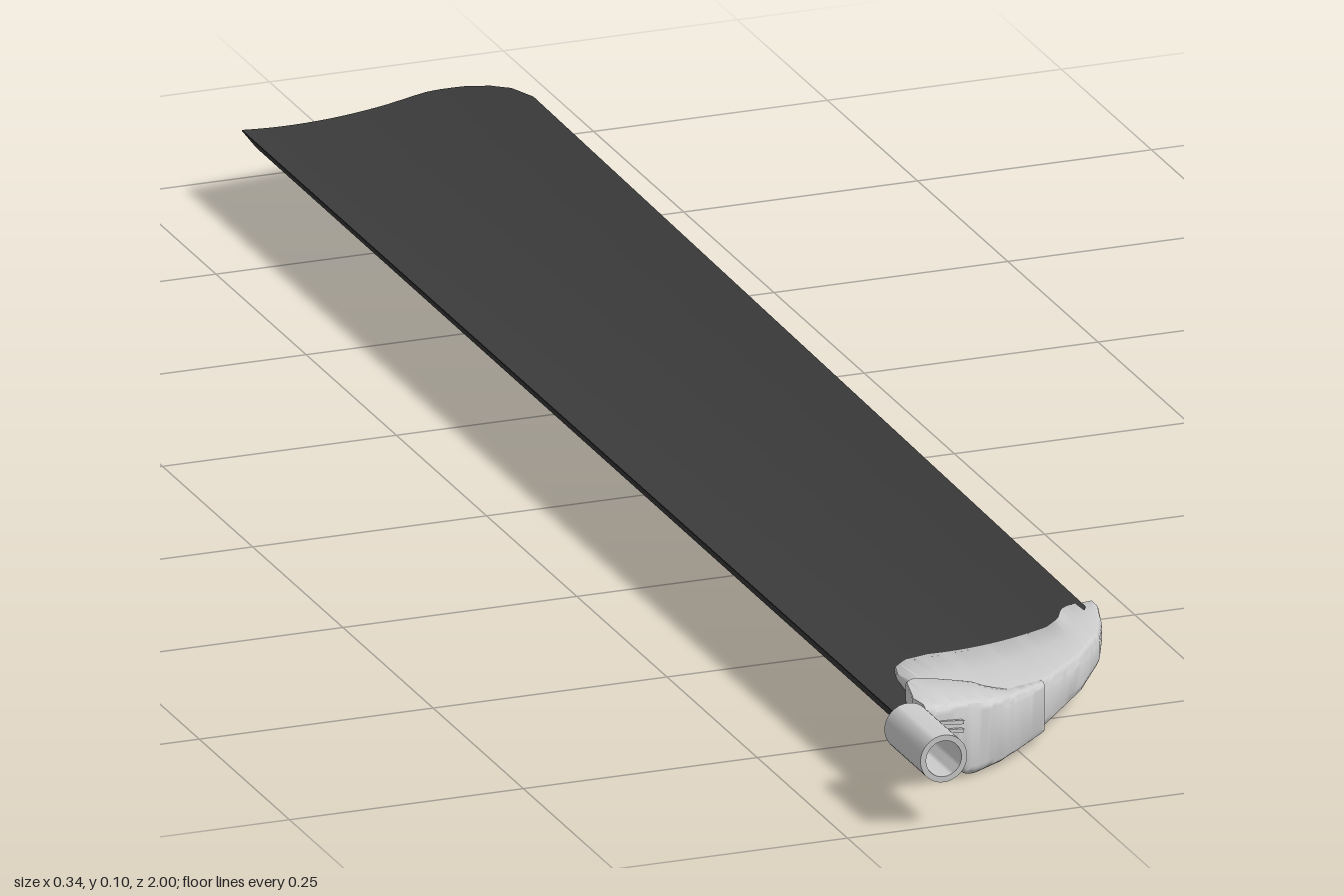
import * as THREE from 'three';
import { toCreasedNormals } from 'three/addons/utils/BufferGeometryUtils.js';

// piecewise-linear lookup in a list of [x, value] pairs
function at(table, x) {
  if (x <= table[0][0]) return table[0][1];
  for (let i = 1; i < table.length; i++) {
    const [x0, v0] = table[i - 1], [x1, v1] = table[i];
    if (x <= x1) return v0 + (v1 - v0) * (x - x0) / (x1 - x0);
  }
  return table[table.length - 1][1];
}

// skin closed [z, y] loops along x, with end caps
function loft(xs, section, crease) {
  const pos = [];
  const rings = xs.map(x => section(x).map(([z, y]) => new THREE.Vector3(x, y, z)));
  const tri = (...p) => p.forEach(v => pos.push(v.x, v.y, v.z));
  const n = rings[0].length, last = rings.length - 1;
  const centre = ring => ring.reduce((s, p) => s.add(p), new THREE.Vector3()).divideScalar(n);
  const c0 = centre(rings[0]), c1 = centre(rings[last]);
  for (let j = 0; j < n; j++) {
    const k = (j + 1) % n;
    for (let i = 0; i < last; i++) {
      const a = rings[i][j], b = rings[i][k], c = rings[i + 1][j], d = rings[i + 1][k];
      tri(a, b, c);
      tri(b, d, c);
    }
    tri(c0, rings[0][k], rings[0][j]);
    tri(c1, rings[last][j], rings[last][k]);
  }
  const g = new THREE.BufferGeometry();
  g.setAttribute('position', new THREE.Float32BufferAttribute(pos, 3));
  return toCreasedNormals(g, crease);
}

const steps = (a, b, n) => Array.from({ length: n + 1 }, (_, i) => a + (b - a) * i / n);

// blade planform and cambered, slightly twisted surface
const bladeTip = [[-0.147, -0.945], [0.03, -0.99], [0.05, -0.996], [0.07, -1], [0.09, -0.998],
  [0.11, -0.99], [0.13, -0.975], [0.145, -0.955], [0.155, -0.92]];
const bladeRoot = [[-0.147, 0.9], [-0.1, 0.86], [0, 0.79], [0.1, 0.7], [0.155, 0.61]];

function bladeTop(x, z) {
  const s = (x + 0.147) / 0.302, t = (0.9 - z) / 1.9;
  const mid = 0.048 + 0.016 * t, right = 0.058 + 0.022 * t;
  return 0.075 * (1 - s) * (1 - 2 * s) + mid * 4 * s * (1 - s) + right * s * (2 * s - 1);
}
const bladeThickness = [[-0.147, 0.001], [-0.13, 0.02], [0.148, 0.02], [0.155, 0.016]];

function bladeSection(x) {
  const zs = steps(at(bladeTip, x), at(bladeRoot, x), 10), h = at(bladeThickness, x);
  return [...zs.map(z => [z, bladeTop(x, z)]),
    ...zs.reverse().map(z => [z, bladeTop(x, z) - h])];
}

// bracket outlines: edge lying on the blade, outer edge, upper and lower heights
const clampInner = [[-0.105, 0.8], [-0.1, 0.75], [-0.09, 0.715], [-0.07, 0.69], [-0.04, 0.673],
  [0.05, 0.653], [0.1, 0.641], [0.117, 0.628], [0.13, 0.603], [0.14, 0.595], [0.168, 0.59]];
const outer = [[-0.135, 0.912], [-0.12, 0.9], [-0.09, 0.886], [-0.03, 0.86], [0.03, 0.812],
  [0.1, 0.745], [0.14, 0.69], [0.16, 0.645], [0.168, 0.615]];
const upper = [[-0.135, 0.095], [-0.12, 0.09], [-0.07, 0.081], [-0.02, 0.07], [0.03, 0.064], [0.168, 0.061]];
const lower = [[-0.135, 0.048], [-0.1, 0.02], [-0.075, 0.004], [-0.065, 0.002], [0.03, 0.011], [0.168, 0.03]];
const hubInner = [[-0.135, 0.885], [-0.125, 0.85], [-0.115, 0.81], [-0.1, 0.797], [-0.04, 0.797],
  [-0.03, 0.808], [-0.01, 0.815], [0.01, 0.802], [0.034, 0.79]];

// rounded section from the thin inner lip to the deep outer wall
function shellSection(z0, z1, lipTop, lipLow, top, low) {
  const d = z1 - z0, r = Math.min(0.01, d / 4, (top - low) / 3);
  const pts = [[z0, lipTop - 0.002], [z0 + 0.003, lipTop],
    [z0 + d * 0.45, lipTop * 0.4 + top * 0.6]];
  for (const a of steps(0, Math.PI / 2, 4))
    pts.push([z1 - r + r * Math.sin(a), top - r + r * Math.cos(a)]);
  for (const a of steps(0, Math.PI / 2, 4))
    pts.push([z1 - r + r * Math.cos(a), low + r - r * Math.sin(a)]);
  pts.push([z0 + d * 0.45, lipLow * 0.4 + low * 0.6], [z0 + 0.003, lipLow], [z0, lipLow + 0.002]);
  return pts;
}

function clampSection(x) {
  const z0 = at(clampInner, x), z1 = at(outer, x) - 0.002;
  const y = bladeTop(Math.min(x, 0.155), z0);
  const top = at(upper, x) - 0.001, low = at(lower, x) + 0.001;
  return shellSection(z0, z1, Math.min(y + 0.006, top), Math.max(y - 0.027, low), top, low);
}

function hubSection(x) {
  const z0 = at(hubInner, x), z1 = at(outer, x) + 0.002;
  const top = at(upper, x) + 0.001, low = at(lower, x);
  return shellSection(z0, z1, top - 0.003, low + 0.004, top, low);
}

export function createModel() {
  const model = new THREE.Group();
  const grey = new THREE.MeshStandardMaterial({ color: 0xcccccc });
  const dark = new THREE.MeshStandardMaterial({ color: 0x3a3a3a });
  const add = (name, geometry, material = grey) => {
    const mesh = new THREE.Mesh(geometry, material);
    mesh.name = name;
    model.add(mesh);
    return mesh;
  };

  add('blade', loft([-0.147, ...steps(-0.13, 0.1, 16), ...steps(0.105, 0.155, 10)], bladeSection, 0.5), dark);
  add('bladeClamp', loft([...steps(-0.105, 0.1, 28), ...steps(0.105, 0.168, 14)], clampSection, 0.7));
  add('hubCover', loft(steps(-0.131, 0.034, 33), hubSection, 0.7));

  // hollow pivot tube, open at both ends
  const tube = new THREE.LatheGeometry([[0.019, 0], [0.025, 0], [0.025, 0.1], [0.019, 0.1], [0.019, 0]]
    .map(p => new THREE.Vector2(...p)), 32);
  tube.rotateX(Math.PI / 2);
  const pivot = add('pivotTube', toCreasedNormals(tube, 0.6), new THREE.MeshStandardMaterial({
    color: 0xcccccc, side: THREE.DoubleSide }));
  pivot.position.set(-0.147, 0.073, 0.9);

  // small ribs bracing the tube against the hub
  for (const y of [0.061, 0.07]) {
    const rib = add('tubeRib', new THREE.BoxGeometry(0.045, 0.004, 0.02));
    rib.position.set(-0.107, y, 0.888);
    rib.rotation.set(0, 0.35, -0.2);
  }
  return model;
}
